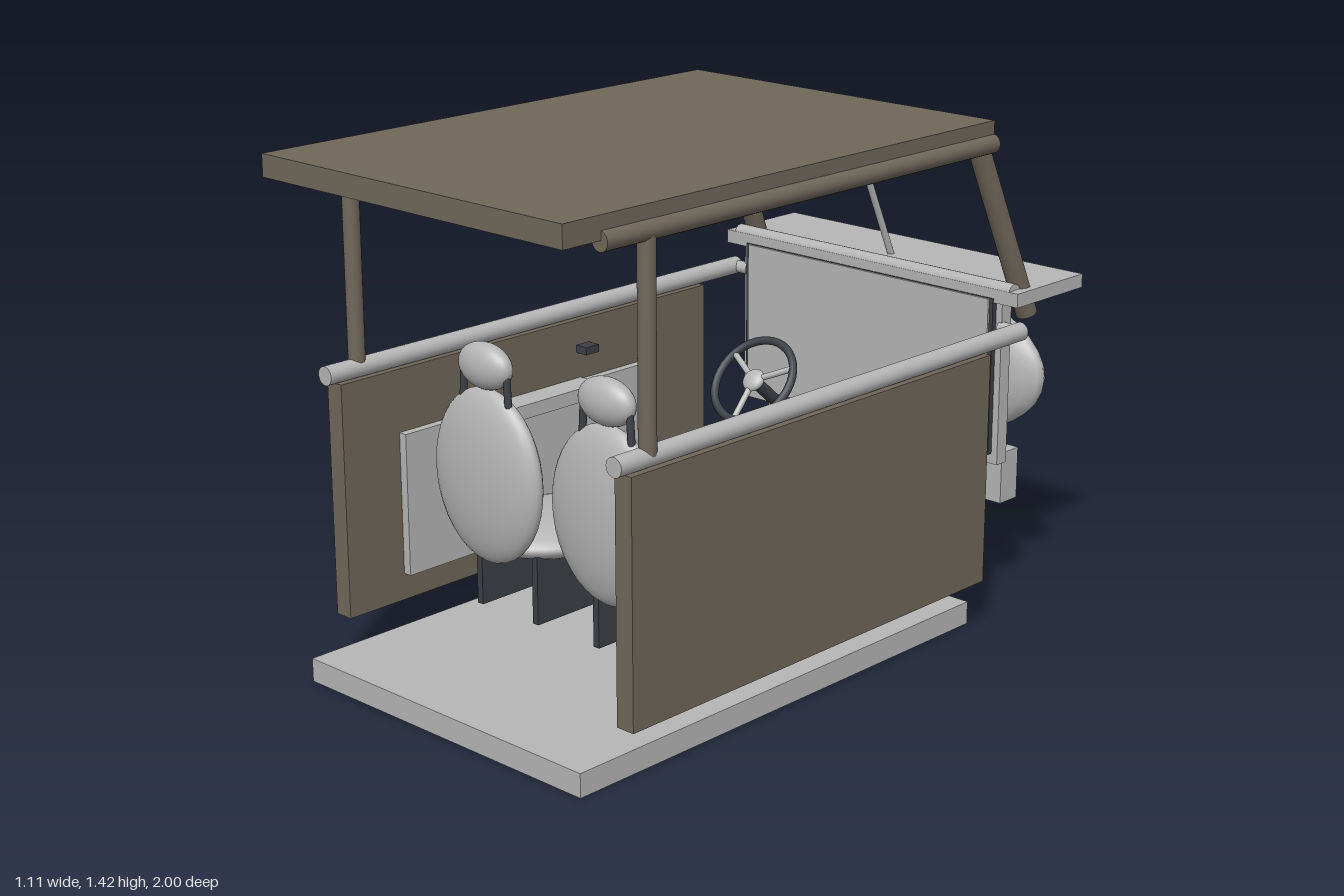
import * as THREE from 'three';

const mat = (name, color) => {
  const m = new THREE.MeshStandardMaterial({ color });
  m.name = name;
  return m;
};

export function createModel() {
  const model = new THREE.Group();
  model.name = 'carInterior';
  const brown = mat('brown', 0x70675a);
  const grey = mat('light grey', 0xb6b6b6);
  const dark = mat('charcoal', 0x3b4046);

  const add = (name, geometry, material, parent = model) => {
    const mesh = new THREE.Mesh(geometry, material);
    mesh.name = name;
    parent.add(mesh);
    return mesh;
  };
  // box given by its limits along each axis
  const box = (name, m, [x0, x1], [y0, y1], [z0, z1], parent) => {
    const g = new THREE.BoxGeometry(x1 - x0, y1 - y0, z1 - z0);
    g.translate((x0 + x1) / 2, (y0 + y1) / 2, (z0 + z1) / 2);
    return add(name, g, m, parent);
  };
  // round bar between two points
  const bar = (name, m, a, b, r, parent) => {
    const p = new THREE.Vector3(...a), q = new THREE.Vector3(...b);
    const d = q.clone().sub(p);
    const mesh = add(name, new THREE.CylinderGeometry(r, r, d.length(), 20), m, parent);
    mesh.position.copy(p).add(q).multiplyScalar(0.5);
    mesh.quaternion.setFromUnitVectors(new THREE.Vector3(0, 1, 0), d.normalize());
    return mesh;
  };
  const ellipsoid = (name, m, centre, radii, parent) => {
    const g = new THREE.SphereGeometry(1, 32, 20).scale(...radii).translate(...centre);
    return add(name, g, m, parent);
  };
  // limits mirrored to the given side
  const side = (s, a, b) => (s > 0 ? [a, b] : [-b, -a]);

  // floor, console and roof
  box('floor', grey, [-0.505, 0.505], [0, 0.065], [-0.56, 0.94]);
  box('console', grey, [-0.055, 0.055], [0.085, 0.23], [-0.365, 0.195]);
  box('roof', brown, [-0.535, 0.535], [1.365, 1.425], [-0.57, 1]);

  // dashboard, cowl and nose
  box('cowl', grey, [-0.535, 0.535], [0.888, 0.927], [-1, -0.7]);
  bar('dashRoll', grey, [-0.505, 0.92, -0.725], [0.505, 0.92, -0.725], 0.025);
  box('dashboard', grey, [-0.475, 0.475], [0.42, 0.9], [-0.755, -0.713]);
  box('dashFrame', dark, [-0.455, 0.455], [0.45, 0.9], [-0.713, -0.697]);
  box('dashFace', grey, [-0.443, 0.443], [0.46, 0.898], [-0.697, -0.691]);
  ellipsoid('nose', grey, [0, 0.65, -0.845], [0.53, 0.24, 0.093]);
  box('bumper', grey, [-0.44, 0.44], [0.28, 0.43], [-0.858, -0.783]);
  box('dashShelf', grey, [0.135, 0.19], [0.35, 0.38], [-0.685, -0.5]);

  // windscreen bars
  bar('windscreenHeader', brown, [-0.46, 1.352, -0.595], [0.46, 1.352, -0.595], 0.027);
  bar('centreRod', grey, [0, 0.92, -0.815], [0, 1.345, -0.62], 0.01);

  for (const s of [1, -1]) {
    // doors, rails and pillars
    const door = new THREE.Group();
    door.name = s > 0 ? 'leftDoor' : 'rightDoor';
    model.add(door);
    box('doorPanel', brown, side(s, 0.5, 0.555), [0.14, 0.79], [-0.56, 0.81], door);
    box('doorLining', grey, side(s, 0.475, 0.5), [0.215, 0.615], [-0.28, 0.62], door);
    box('armrest', grey, side(s, 0.42, 0.5), [0.58, 0.62], [-0.05, 0.43], door);
    box('doorHandle', dark, side(s, 0.46, 0.5), [0.695, 0.717], [-0.085, -0.035], door);
    bar('windowCrank', dark, [s * 0.465, 0.655, 0.31], [s * 0.465, 0.655, 0.45], 0.012, door);
    bar('crankHub', dark, [s * 0.455, 0.655, 0.32], [s * 0.5, 0.655, 0.32], 0.01, door);
    bar('sillTube', grey, [s * 0.527, 0.815, -0.73], [s * 0.527, 0.815, 0.84], 0.026);
    bar('roofRail', brown, [s * 0.53, 1.363, -0.57], [s * 0.53, 1.363, 0.88], 0.026);
    bar('rearPillar', brown, [s * 0.53, 0.82, 0.73], [s * 0.53, 1.365, 0.73], 0.023);
    bar('windscreenPillar', brown, [s * 0.49, 0.845, -0.805], [s * 0.455, 1.375, -0.59], 0.03);
    ellipsoid('pillarJoint', brown, [s * 0.455, 1.36, -0.593], [0.03, 0.03, 0.03]);
    bar('tubeBracket', grey, [s * 0.465, 0.815, -0.72], [s * 0.52, 0.815, -0.72], 0.018);

    // seats
    const seat = new THREE.Group();
    seat.name = s > 0 ? 'leftSeat' : 'rightSeat';
    seat.position.x = s * 0.222;
    model.add(seat);
    ellipsoid('backrest', grey, [0, 0.545, 0.555], [0.197, 0.24, 0.06], seat);
    ellipsoid('headrest', grey, [0, 0.845, 0.558], [0.094, 0.063, 0.043], seat);
    ellipsoid('cushion', grey, [0, 0.345, 0.33], [0.195, 0.056, 0.22], seat);
    for (const t of [1, -1]) {
      bar('headrestPost', dark, [t * 0.087, 0.735, 0.56], [t * 0.08, 0.845, 0.56], 0.01, seat);
      const x = t * 0.108;
      box('seatLeg', dark, [x - 0.01, x + 0.01], [0.14, 0.33], [0.12, 0.5], seat);
    }
  }

  // steering wheel on a sloping column
  bar('steeringColumn', dark, [-0.21, 0.37, -0.7], [-0.21, 0.58, -0.46], 0.018);
  const wheel = new THREE.Group();
  wheel.name = 'steeringWheel';
  wheel.position.set(-0.21, 0.58, -0.46);
  wheel.rotation.x = -0.72;
  model.add(wheel);
  add('wheelRim', new THREE.TorusGeometry(0.13, 0.012, 10, 40), dark, wheel);
  ellipsoid('wheelHub', grey, [0, 0, 0], [0.035, 0.035, 0.018], wheel);
  for (const a of [0, 2.094, 4.189]) {
    bar('wheelSpoke', grey, [0, 0, 0], [0.13 * Math.sin(a), -0.13 * Math.cos(a), 0], 0.009, wheel);
  }

  // gear lever
  bar('gearLever', grey, [0.067, 0.24, -0.2], [0.067, 0.57, -0.33], 0.009);
  ellipsoid('leverFoot', grey, [0.067, 0.24, -0.2], [0.009, 0.009, 0.009]);
  ellipsoid('gearKnob', grey, [0.067, 0.58, -0.335], [0.022, 0.025, 0.022]);

  // pedals with ribs
  for (const x of [-0.28, -0.14]) {
    box('pedal', dark, [x - 0.05, x + 0.05], [0.13, 0.146], [-0.74, -0.59]);
    for (let i = 0; i < 4; i++) {
      const z = -0.72 + i * 0.037;
      box('pedalRib', dark, [x - 0.045, x + 0.045], [0.146, 0.154], [z - 0.006, z + 0.006]);
    }
  }
  return model;
}
